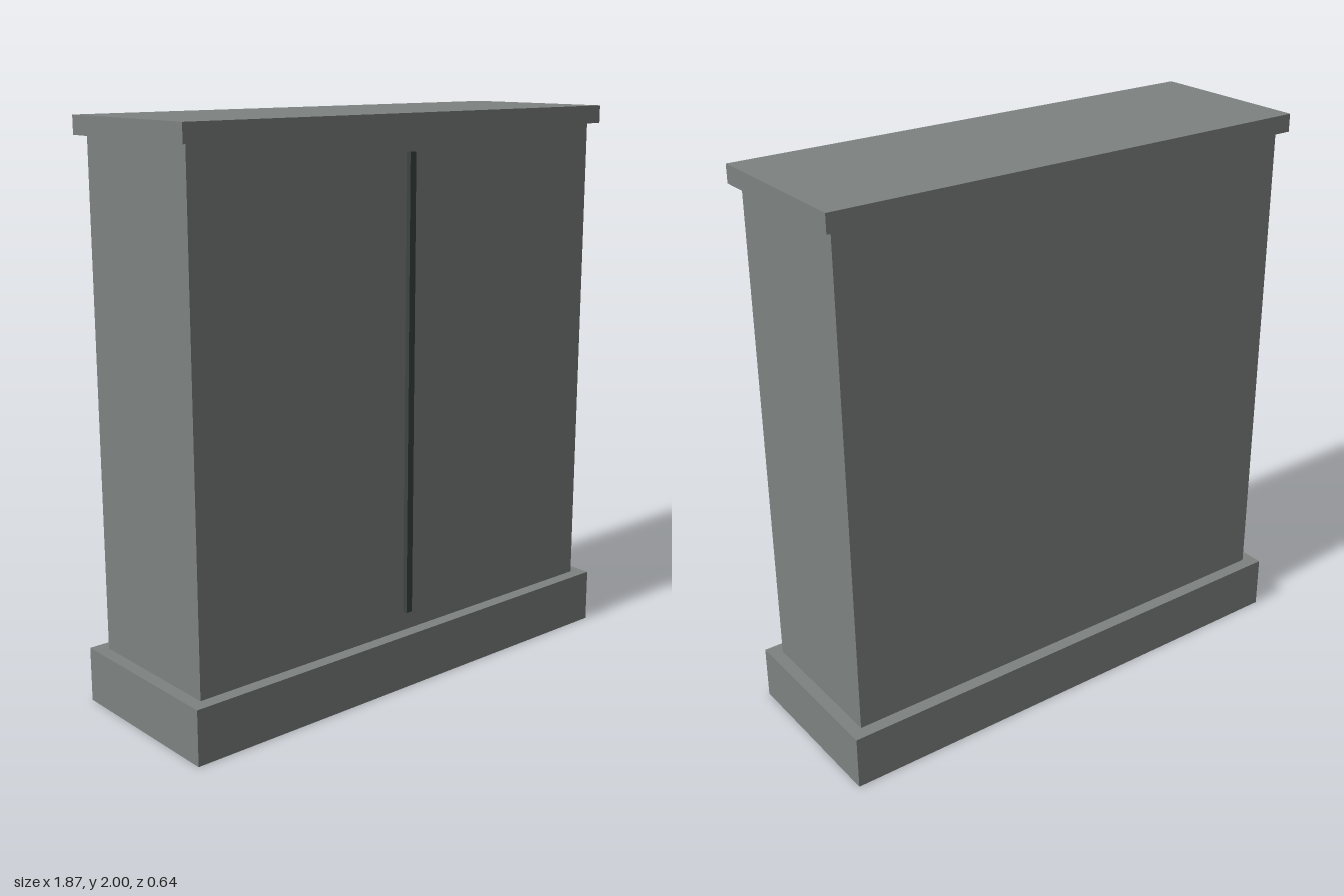
import * as THREE from 'three';

export function createModel() {
  const model = new THREE.Group();
  model.name = 'cabinet';

  const stoneGrey = new THREE.MeshStandardMaterial({ color: 0x7d8280 });
  stoneGrey.name = 'stoneGrey';
  const darkGrey = new THREE.MeshStandardMaterial({ color: 0x3c4644 });
  darkGrey.name = 'darkGrey';

  // Box standing from y0 to y1, centred on x = 0
  function addBox(name, width, y0, y1, depth, z, material) {
    const mesh = new THREE.Mesh(new THREE.BoxGeometry(width, y1 - y0, depth), material);
    mesh.position.set(0, (y0 + y1) / 2, z);
    mesh.name = name;
    model.add(mesh);
  }

  addBox('plinth', 1.866, 0, 0.194, 0.64, 0, stoneGrey);
  addBox('body', 1.774, 0.194, 1.937, 0.546, 0, stoneGrey);
  addBox('topSlab', 1.836, 1.937, 2, 0.61, 0, stoneGrey);

  // Raised strip down the middle of the front, where the doors meet
  addBox('doorStrip', 0.026, 0.264, 1.874, 0.018, 0.282, darkGrey);

  return model;
}
